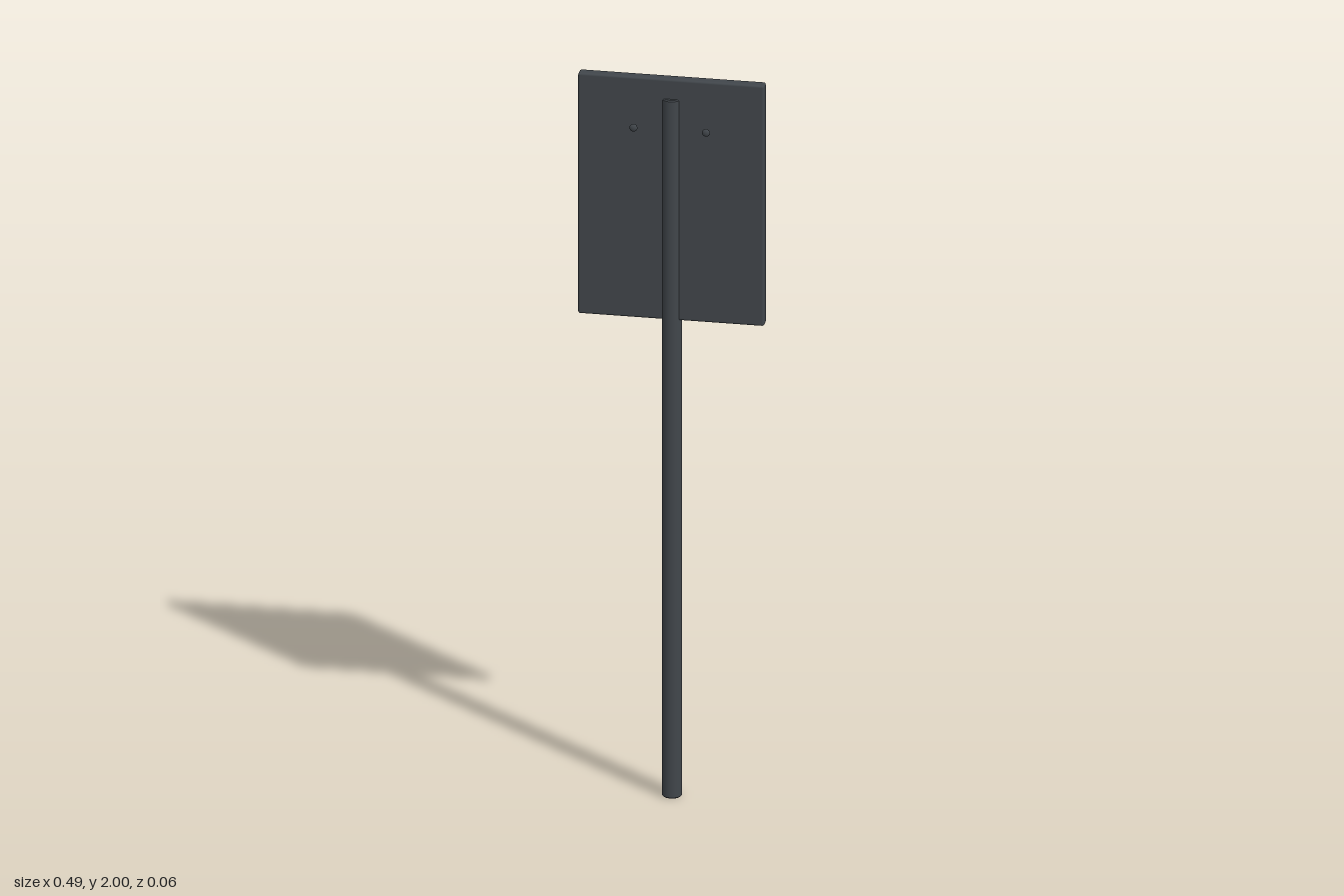
import * as THREE from 'three';
import { RoundedBoxGeometry } from 'three/addons/geometries/RoundedBoxGeometry.js';

export function createModel() {
  const model = new THREE.Group();
  model.name = 'signPost';
  const darkMetal = new THREE.MeshStandardMaterial({ color: 0x41464b });
  darkMetal.name = 'dark metal';

  const add = (name, geometry, x, y, z) => {
    const mesh = new THREE.Mesh(geometry, darkMetal);
    mesh.name = name;
    mesh.position.set(x, y, z);
    model.add(mesh);
    return mesh;
  };

  // Round post with slightly eased ends, running up through the panel
  const radius = 0.0265, height = 1.945, ease = 0.003;
  const post = new THREE.CylinderGeometry(radius, radius, height - 2 * ease, 32, 1, true);
  add('post', post, 0, height / 2, -0.0065);
  for (const [name, top, bottom, y] of [
    ['postTop', radius - ease, radius, height - ease / 2],
    ['postFoot', radius, radius - ease, ease / 2],
  ]) {
    add(name, new THREE.CylinderGeometry(top, bottom, ease, 32), 0, y, -0.0065);
  }

  // Flat panel with rounded edges
  add('panel', new RoundedBoxGeometry(0.49, 0.67, 0.031, 3, 0.006), 0, 1.665, -0.0065);

  // Pair of flattened bolt heads in front of the panel
  for (const side of [-1, 1]) {
    const bolt = add(side < 0 ? 'rightBolt' : 'leftBolt',
      new THREE.SphereGeometry(0.0105, 20, 14), side * 0.0955, 1.865, 0.025);
    bolt.scale.z = 0.57;
  }
  return model;
}
